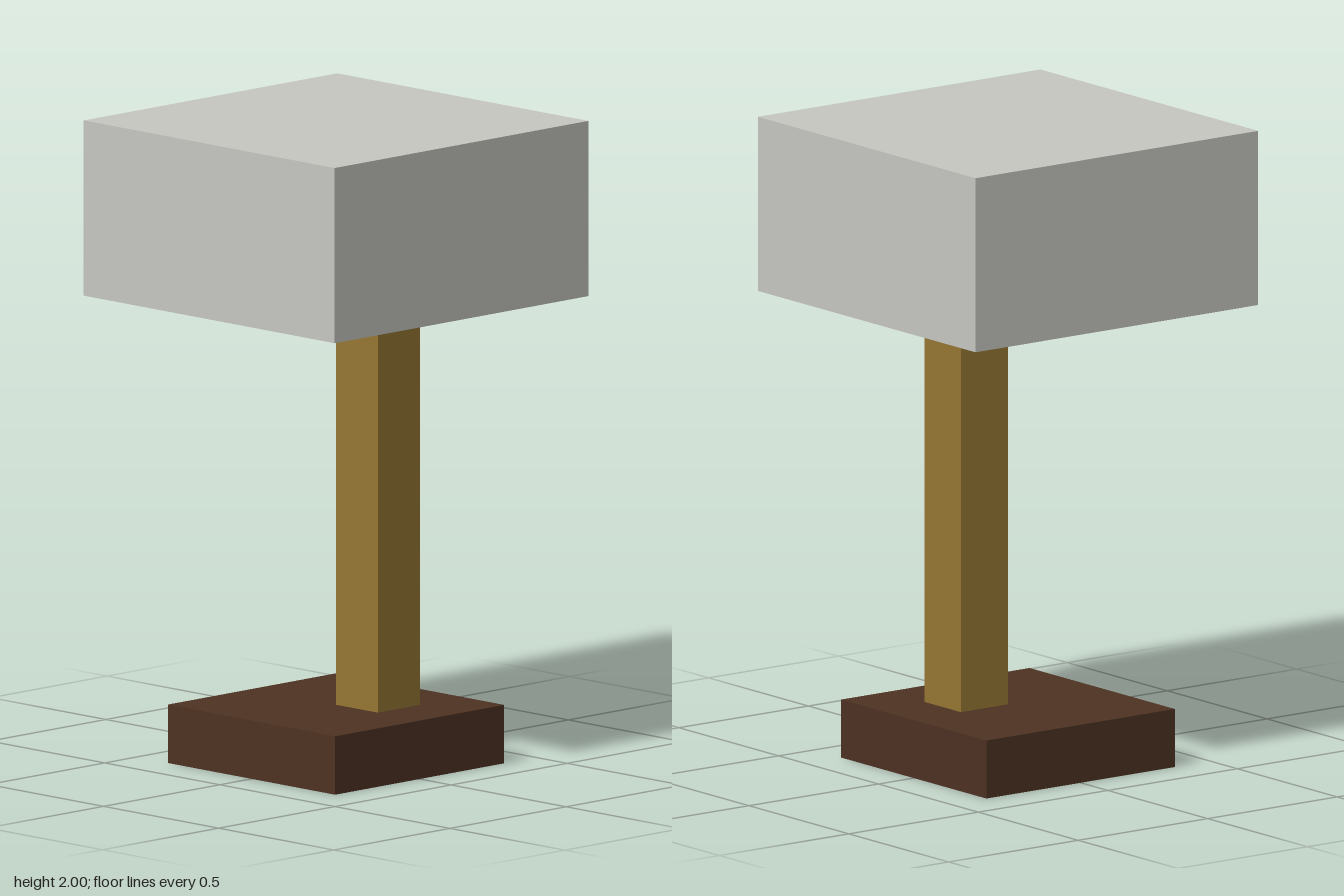
import * as THREE from 'three';

const U = 2 / 11; // one block unit

const material = (name, color) => {
  const m = new THREE.MeshStandardMaterial({ color });
  m.name = name;
  return m;
};

// Box standing on height y
function box(name, w, h, d, x, y, z, mat) {
  const mesh = new THREE.Mesh(new THREE.BoxGeometry(w, h, d), mat);
  mesh.position.set(x, y + h / 2, z);
  mesh.name = name;
  return mesh;
}

export function createModel() {
  const darkWood = material('darkWood', 0x4e3323);
  darkWood.side = THREE.DoubleSide;
  const lightWood = material('lightWood', 0x977834);
  const paleGrey = material('paleGrey', 0xc8c8c3);

  const lamp = new THREE.Group();
  lamp.name = 'lamp';

  // Hollow foot: a thin box without its bottom face
  const foot = box('foot', 4 * U, U, 4 * U, 0, 0, 0, darkWood);
  const index = Array.from(foot.geometry.index.array);
  index.splice(18, 6);
  foot.geometry.setIndex(index);
  foot.geometry.clearGroups();

  // Off-centre post; its end just shows inside the foot
  const sink = 0.002;
  const post = box('post', U, 7 * U + sink, U, U / 2, U - sink, -U / 2, lightWood);

  // Solid square shade
  const shade = box('shade', 6 * U, 3 * U, 6 * U, 0, 8 * U, 0, paleGrey);

  lamp.add(foot, post, shade);
  return lamp;
}
